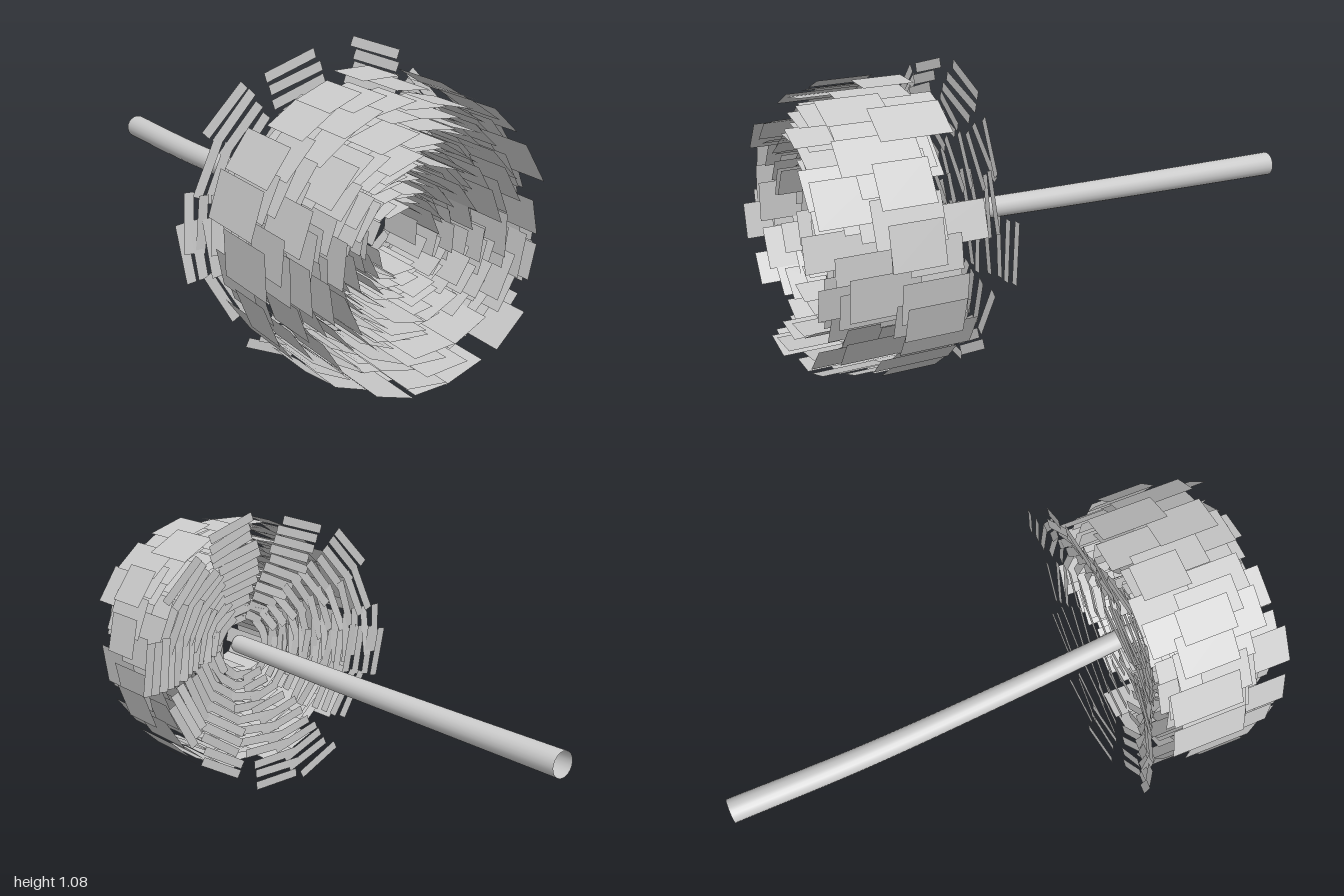
import * as THREE from 'three';

const CENTRE_Y = 0.535;
const GOLDEN = Math.PI * (3 - Math.sqrt(5));

// small seeded generator, returns -1..1
function seeded(seed) {
  let s = seed;
  return () => {
    s = (s * 16807) % 2147483647;
    return (s / 2147483647) * 2 - 1;
  };
}

// straight-line look-up through a few [radius, value] points
function profile(points) {
  return (r) => {
    let i = 1;
    while (i < points.length - 1 && r > points[i][0]) i++;
    const [a, b] = [points[i - 1], points[i]];
    return THREE.MathUtils.mapLinear(r, a[0], b[0], a[1], b[1]);
  };
}

export function createModel() {
  const model = new THREE.Group();
  const material = new THREE.MeshStandardMaterial({ color: 0xcccccc, side: THREE.DoubleSide });

  const flower = new THREE.Group();
  flower.name = 'flowerHead';
  flower.position.y = CENTRE_Y;
  model.add(flower);
  const rand = seeded(417);

  // place a flat piece at a radius and angle around the flower axis
  function place(parent, name, geometry, angle, radius, z) {
    const mesh = new THREE.Mesh(geometry, material);
    mesh.name = name;
    mesh.position.set(radius, 0, z);
    const arm = new THREE.Group();
    arm.rotation.z = angle;
    arm.add(mesh);
    parent.add(arm);
  }

  // the back of the flower is a shallow bowl, deepest around the stem
  const bowlZ = profile([[0.1, 0.58], [0.2, 0.54], [0.36, 0.45], [0.45, 0.41], [0.54, 0.38]]);

  // upright petals spiralling out from the hollow middle
  const petals = new THREE.Group();
  petals.name = 'petals';
  flower.add(petals);
  const petalZ = profile([[0.09, 0.68], [0.25, 0.72], [0.38, 0.76], [0.44, 0.7], [0.5, 0.65]]);
  const petalJitter = profile([[0.09, 0.03], [0.25, 0.08], [0.38, 0.14], [0.45, 0.15], [0.5, 0.03]]);
  const petalCount = 320;
  for (let i = 0; i < petalCount; i++) {
    const radius = 0.09 + 0.405 * Math.pow(i / (petalCount - 1), 0.75);
    const length = 0.22 + 0.05 * rand();
    const width = Math.min(0.135, 0.04 + 0.3 * radius) + 0.02 * rand();
    const z = THREE.MathUtils.clamp(
      petalZ(radius) + petalJitter(radius) * rand(),
      bowlZ(radius) + length / 2,
      1 - length / 2
    );
    const geometry = new THREE.PlaneGeometry(length, width).rotateY(Math.PI / 2);
    place(petals, 'petal', geometry, i * GOLDEN + 0.1 * rand(), radius, z);
  }

  // narrow cross strips in radial ladders lining the bowl: [angle, outer radius]
  const ladders = [
    [4, 0.54], [22, 0.47], [41, 0.51], [70, 0.535], [108, 0.505], [136, 0.53], [158, 0.49],
    [177, 0.515], [187, 0.53], [210, 0.475], [247, 0.52], [267, 0.51], [300, 0.47], [331, 0.44],
  ];
  const strips = new THREE.Group();
  strips.name = 'backStrips';
  flower.add(strips);
  for (const [degrees, outer] of ladders) {
    let step = 0;
    for (let radius = outer; radius > 0.1; radius -= 0.039) {
      const angle = THREE.MathUtils.degToRad(degrees + 0.8 * step++ + 2 * rand());
      const width = Math.min(0.2, 0.02 + 0.57 * radius);
      const geometry = new THREE.PlaneGeometry(0.034, width).rotateX(0.1 * rand());
      place(strips, 'backStrip', geometry, angle, radius, bowlZ(radius) + 0.006 * rand());
    }
  }

  // gently curved hollow stem
  const path = new THREE.CatmullRomCurve3([
    new THREE.Vector3(0.007, 0.535, 0.6),
    new THREE.Vector3(-0.03, 0.51, 0.05),
    new THREE.Vector3(-0.06, 0.492, -0.5),
    new THREE.Vector3(-0.07, 0.485, -1),
  ]);
  const tube = new THREE.TubeGeometry(path, 24, 0.045, 20);
  // slightly slimmer towards the flower
  const pos = tube.attributes.position;
  const v = new THREE.Vector3();
  for (let ring = 0; ring <= 24; ring++) {
    const c = path.getPointAt(ring / 24);
    const k = THREE.MathUtils.lerp(0.78, 1, ring / 24);
    for (let j = 0; j <= 20; j++) {
      const n = ring * 21 + j;
      v.fromBufferAttribute(pos, n).sub(c).multiplyScalar(k).add(c);
      pos.setXYZ(n, v.x, v.y, v.z);
    }
  }
  const stem = new THREE.Mesh(tube, material);
  stem.name = 'stem';
  model.add(stem);

  // cap closing the stem inside the flower
  const cap = new THREE.Mesh(new THREE.CircleGeometry(0.035, 20), material);
  cap.name = 'stemCap';
  cap.position.set(0.007, 0.535, 0.6);
  model.add(cap);

  return model;
}
